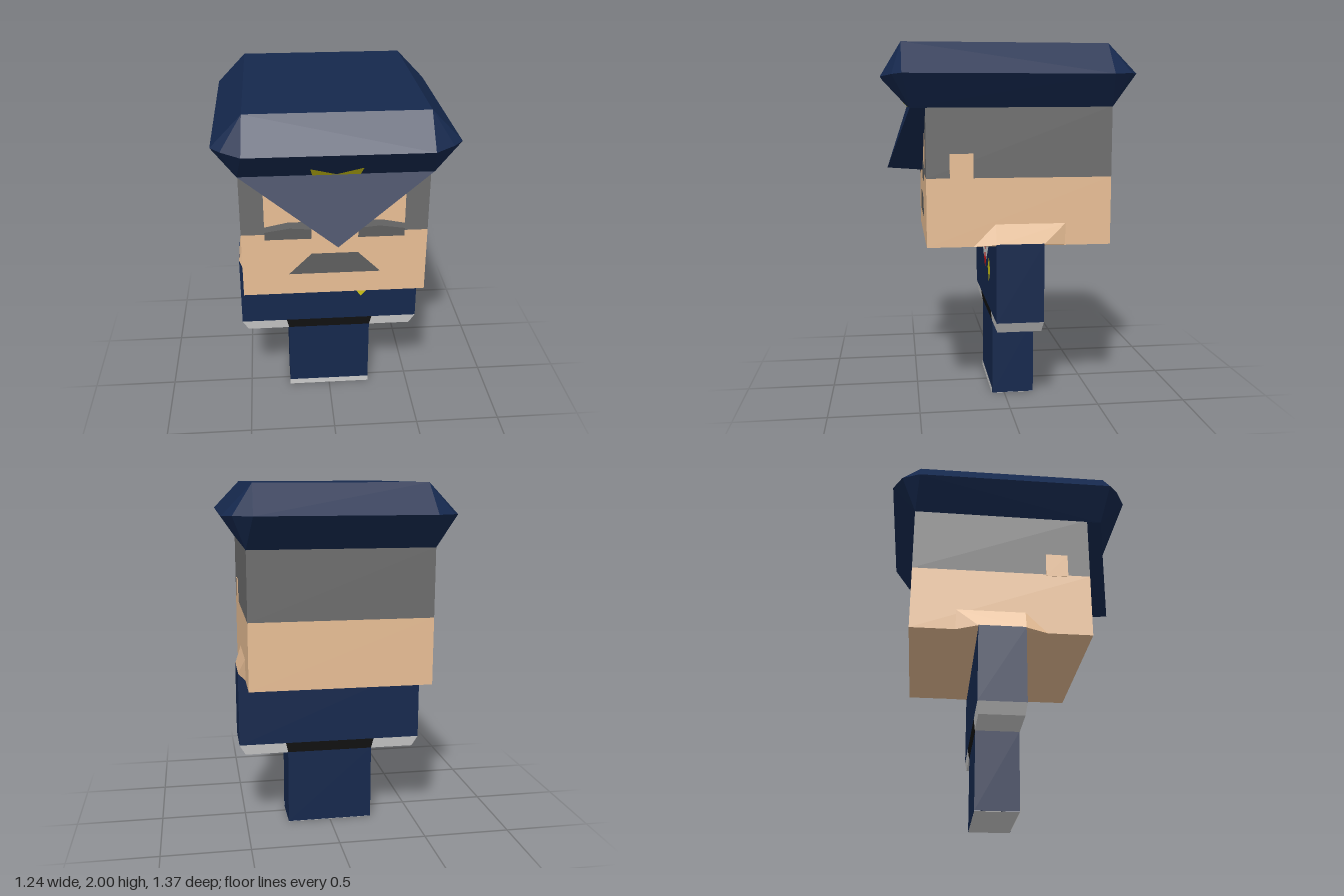
import * as THREE from 'three';
import { ConvexGeometry } from 'three/addons/geometries/ConvexGeometry.js';

const paint = (color, side = THREE.FrontSide) =>
  new THREE.MeshStandardMaterial({ color, side, flatShading: true });

const NAVY = 0x15284d, SKIN = 0xe8be95, HAIR = 0x6c6c6c, DARK_HAIR = 0x5e5e5e;
const WHITE = 0xf0f0f0, BLACK = 0x121212, RED = 0xd01616, GOLD = 0xcdc416;

export function createModel() {
  const model = new THREE.Group();

  const add = (name, geometry, color, side) => {
    const mesh = new THREE.Mesh(geometry, paint(color, side));
    mesh.name = name;
    model.add(mesh);
    return mesh;
  };

  // Box given by its minimum and maximum corners
  const box = (name, [x0, y0, z0], [x1, y1, z1], color) => {
    const g = new THREE.BoxGeometry(x1 - x0, y1 - y0, z1 - z0);
    return add(name, g.translate((x0 + x1) / 2, (y0 + y1) / 2, (z0 + z1) / 2), color);
  };

  // Faceted solid around a few corner points
  const solid = (name, points, color) =>
    add(name, new ConvexGeometry(points.map((p) => new THREE.Vector3(...p))), color);

  // Flat coloured patch on a front surface
  const patch = (name, points, z, color) => {
    const shape = new THREE.Shape(points.map((p) => new THREE.Vector2(...p)));
    const mesh = add(name, new THREE.ShapeGeometry(shape), color, THREE.DoubleSide);
    mesh.position.z = z;
    return mesh;
  };

  // Legs with the toe strip and soles
  box('legs', [-0.25, 0.002, -0.17], [0.25, 0.44, 0.07], NAVY);
  box('soles', [-0.249, 0, -0.169], [0.249, 0.01, 0.069], WHITE);
  patch('toeStrip', [[-0.25, 0], [0.25, 0], [0.25, 0.035], [-0.25, 0.035]], 0.073, WHITE);

  // Torso, belt and hands
  box('torso', [-0.535, 0.5, -0.18], [0.535, 0.935, 0.08], NAVY);
  const taper = (a0, a1, b0, b1) => [
    [a0, 0.5, 0.08], [a1, 0.5, 0.08], [a0, 0.5, -0.18], [a1, 0.5, -0.18],
    [b0, 0.44, 0.072], [b1, 0.44, 0.072], [b0, 0.44, -0.172], [b1, 0.44, -0.172],
  ];
  solid('belt', taper(-0.263, 0.263, -0.25, 0.25), BLACK);
  for (const [s, side] of [[1, 'left'], [-1, 'right']])
    solid(`${side}Hand`, taper(s * 0.263, s * 0.535, s * 0.25, s * 0.5), WHITE);

  // Shirt collar, tie and badge
  const chest = 0.083;
  for (const s of [1, -1])
    patch('collar', [[s * 0.25, 0.925], [s * 0.125, 0.925], [0, 0.805], [s * 0.055, 0.755]], chest, WHITE);
  patch('tieKnot', [[-0.125, 0.925], [0, 0.805], [0.125, 0.925]], chest, RED);
  patch('tie', [[0, 0.805], [-0.055, 0.755], [0, 0.7], [0.055, 0.755]], chest, RED);
  patch('badge', [[0.2, 0.805], [0.135, 0.735], [0.193, 0.655], [0.26, 0.73]], chest, GOLD);

  // Head with the hair block above it
  box('head', [-0.5, 0.92, -0.55], [0.5, 1.29, 0.45], SKIN);
  box('hair', [-0.5, 1.29, -0.55], [0.5, 1.67, 0.45], HAIR);
  patch('face', [[-0.375, 1.289], [0.375, 1.289], [0.375, 1.54], [-0.375, 1.54]], 0.452, SKIN);
  for (const s of [1, -1]) {
    // Ear notch in the hair and the jaw flare above the shoulder
    box('ear', [s * 0.5 - 0.003, 1.28, 0.2], [s * 0.5 + 0.003, 1.42, 0.325], SKIN);
    solid('jawFlare', [
      [s * 0.5, 1.04, 0.08], [s * 0.5, 1.04, -0.3], [s * 0.5, 0.92, -0.3], [s * 0.5, 0.92, 0.2],
      [s * 0.535, 0.932, 0.08], [s * 0.535, 0.932, -0.18],
    ], SKIN);
    // Brow over the eye
    patch('brow', [[s * 0.375, 1.3], [s * 0.125, 1.3], [s * 0.125, 1.36], [s * 0.25, 1.36], [s * 0.375, 1.335]], 0.454, HAIR);
    patch('eye', [[s * 0.375, 1.26], [s * 0.125, 1.26], [s * 0.125, 1.315], [s * 0.24, 1.325], [s * 0.375, 1.305]], 0.456, DARK_HAIR);
  }
  patch('moustache', [[-0.25, 1.045], [0.25, 1.045], [0.125, 1.168], [-0.125, 1.168]], 0.454, DARK_HAIR);

  // Cap: flat top, wide faceted rim and a narrower band at the head
  const cap = [];
  for (const s of [1, -1]) {
    cap.push([s * 0.46, 2, 0.57], [s * 0.46, 2, -0.53]);
    cap.push([s * 0.47, 1.82, 0.68], [s * 0.57, 1.83, 0.62], [s * 0.62, 1.835, 0.57]);
    cap.push([s * 0.47, 1.84, -0.685], [s * 0.57, 1.84, -0.63], [s * 0.62, 1.835, -0.53]);
    cap.push([s * 0.5, 1.66, 0.53], [s * 0.5, 1.665, -0.55]);
  }
  solid('cap', cap, NAVY);

  // Pointed visor
  solid('visor', [
    [-0.5, 1.66, 0.53], [0.5, 1.66, 0.53], [0, 1.31, 0.655],
    [-0.5, 1.66, 0.45], [0.5, 1.66, 0.45], [0, 1.295, 0.45],
  ], NAVY);

  // Cap emblem lying on the sloped band
  const slope = Math.atan2(0.15, 0.16), stretch = 1 / Math.cos(slope);
  const emblem = patch('capEmblem', [[-0.122, 0], [0.122, 0], [0.135, 0.055], [0, 0.004], [-0.135, 0.055]]
    .map(([x, y]) => [x, y * stretch]), 0.534, GOLD);
  emblem.position.y = 1.66;
  emblem.rotation.x = slope;

  return model;
}
